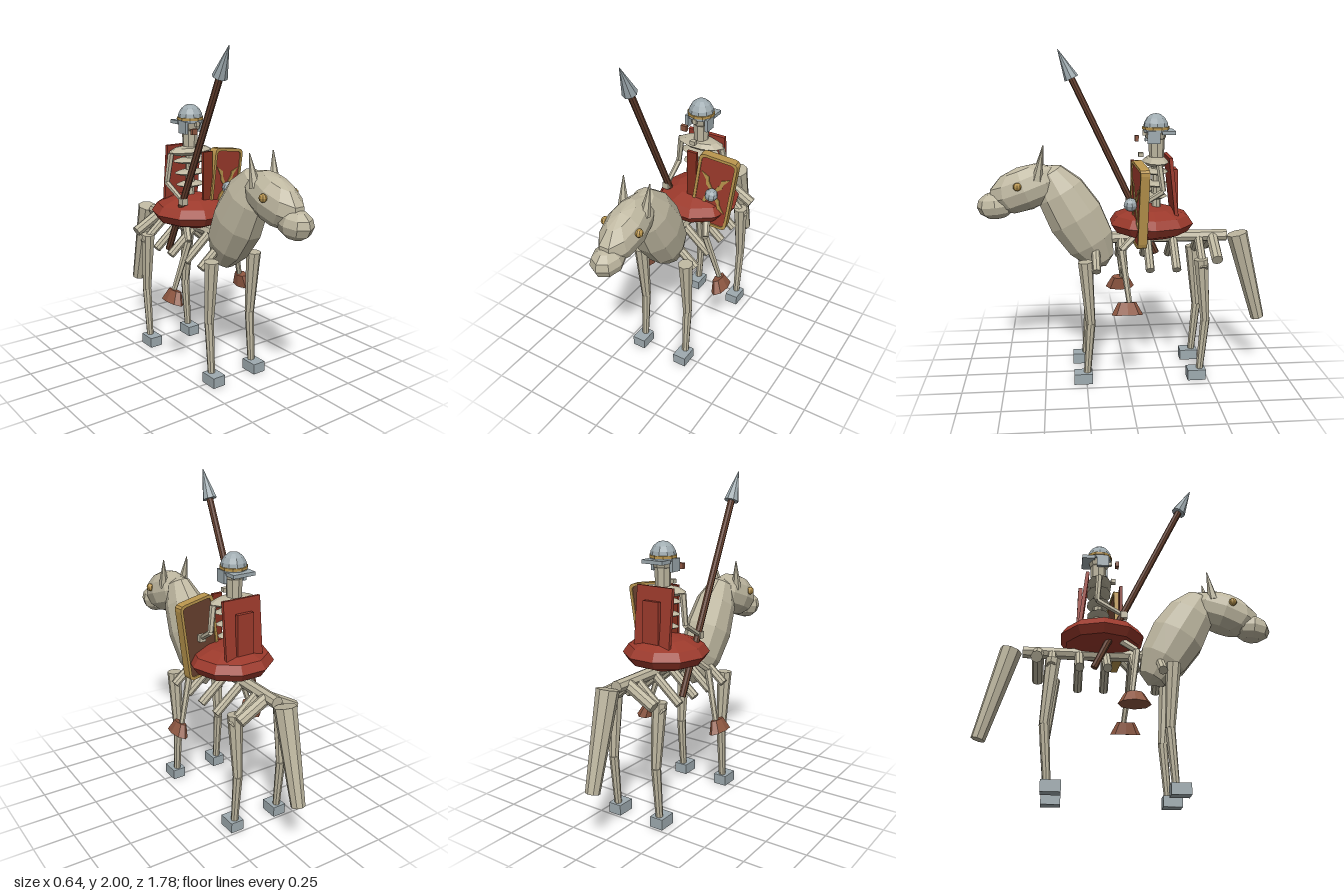
import * as THREE from 'three';

const mat = (name, color) => {
  const m = new THREE.MeshStandardMaterial({ color, flatShading: true });
  m.name = name;
  return m;
};

export function createModel() {
  const root = new THREE.Group();
  const bone = mat('bone', 0xbfb8a1), red = mat('red cloth', 0x9c3a2c), steel = mat('steel', 0x9fabb0),
    gold = mat('gold', 0xb9954d), wood = mat('wood', 0x68412f), leather = mat('leather', 0x8e5741),
    crimson = mat('dark red', 0x86301f);
  const V = (x, y, z) => new THREE.Vector3(x, y, z);

  function add(name, geo, m, pos, rot = [0, 0, 0], parent = root) {
    const mesh = new THREE.Mesh(geo, m);
    mesh.name = name;
    mesh.position.set(...pos);
    mesh.rotation.set(...rot);
    parent.add(mesh);
    return mesh;
  }
  const box = (name, m, size, pos, rot, parent) => add(name, new THREE.BoxGeometry(...size), m, pos, rot, parent);
  // Faceted ellipsoid
  const ball = (name, m, r, pos, rot, w = 10, h = 6, parent = root) =>
    add(name, new THREE.SphereGeometry(1, w, h).scale(...r), m, pos, rot, parent);
  // Tapered rod from a (radius ra) to b (radius rb)
  function rod(name, m, a, b, ra, rb = ra, sides = 8) {
    const p = V(...a), q = V(...b), d = q.clone().sub(p);
    const mesh = add(name, new THREE.CylinderGeometry(rb, ra, d.length(), sides), m, p.clone().add(q).multiplyScalar(0.5).toArray());
    mesh.quaternion.setFromUnitVectors(V(0, 1, 0), d.normalize());
    return mesh;
  }

  // Horse neck, head and tail
  ball('horseNeck', bone, [0.135, 0.365, 0.175], [0, 1.01, 0.3], [0.52, 0, 0]);
  ball('horseHead', bone, [0.115, 0.135, 0.235], [0, 1.19, 0.6], [0.35, 0, 0]);
  ball('horseMuzzle', bone, [0.09, 0.085, 0.115], [0, 1.09, 0.775], [0.1, 0, 0], 8, 6);
  rod('horseTail', bone, [0, 0.885, -0.7], [0, 0.33, -0.85], 0.066, 0.042);
  rod('horseSpine', bone, [0, 0.876, 0.16], [0, 0.876, -0.63], 0.037);

  for (const s of [-1, 1]) {
    ball('horseEye', gold, [0.022, 0.025, 0.025], [s * 0.112, 1.22, 0.64], [0, 0, 0], 8, 6);
    rod('horseEar', bone, [s * 0.07, 1.25, 0.525], [s * 0.085, 1.435, 0.49], 0.034, 0.003, 6);

    // Ribs and pelvis, slanting down from the spine
    for (let i = 0; i < 5; i++) {
      const z = 0.185 - i * 0.16;
      rod('horseRib', bone, [0, 0.876, z], [s * 0.19, 0.715, z], 0.027);
    }
    rod('horsePelvis', bone, [0, 0.876, -0.54], [s * 0.19, 0.77, -0.54], 0.035);

    // Horse legs and hooves
    for (const [top, knee, ankle, hoof] of [[0.25, 0.222, 0.245, 0.27], [-0.447, -0.48, -0.452, -0.43]]) {
      rod('upperLeg', bone, [s * 0.158, 0.77, top], [s * 0.155, 0.38, knee], 0.045, 0.029);
      rod('lowerLeg', bone, [s * 0.155, 0.38, knee], [s * 0.155, 0.06, ankle], 0.029, 0.022);
      box('hoof', steel, [0.085, 0.065, 0.112], [s * 0.155, 0.0325, hoof]);
    }

    // Rider legs and boots
    rod('riderThigh', bone, [s * 0.09, 0.98, -0.12], [s * 0.17, 0.84, 0.035], 0.026, 0.02, 6);
    rod('riderShin', bone, [s * 0.17, 0.84, 0.035], [s * 0.255, 0.53, -0.005], 0.022, 0.016, 6);
    const boot = new THREE.CylinderGeometry(0.028, 0.048, 0.075, 8).scale(1, 1, 1.95);
    add('riderBoot', boot, leather, [s * 0.265, 0.507, 0.01], [0, 0, s * 0.3]);
  }

  // Saddle cloth
  ball('saddle', red, [0.258, 0.1, 0.26], [0, 0.972, -0.16]);

  // Rider torso
  rod('riderSpine', bone, [0, 1.0, -0.19], [0, 1.38, -0.19], 0.028);
  [1.135, 1.21, 1.285].forEach((y, i) =>
    ball('riderRib', bone, [0.1 + i * 0.012, 0.018, 0.07 + i * 0.003], [0, y, -0.185], [0, 0, 0], 10, 4));
  ball('riderShoulders', bone, [0.155, 0.032, 0.08], [0, 1.345, -0.185], [0, 0, 0], 10, 4);
  rod('riderNeck', bone, [0, 1.36, -0.19], [0, 1.49, -0.19], 0.045, 0.05);
  ball('riderSkull', bone, [0.065, 0.07, 0.068], [0, 1.52, -0.185], [0, 0, 0], 8, 6);
  box('riderNose', bone, [0.022, 0.03, 0.02], [0, 1.515, -0.115]);
  box('collarClasp', bone, [0.035, 0.025, 0.03], [0, 1.385, -0.095]);
  box('chinClasp', leather, [0.038, 0.035, 0.022], [-0.05, 1.478, -0.075]);

  // Arms
  for (const [a, b, c] of [
    [[-0.14, 1.34, -0.19], [-0.165, 1.16, -0.2], [-0.155, 1.07, -0.04]],
    [[0.14, 1.34, -0.19], [0.17, 1.19, -0.21], [0.165, 1.12, -0.1]],
  ]) {
    rod('upperArm', bone, a, b, 0.02, 0.017, 6);
    rod('forearm', bone, b, c, 0.018, 0.015, 6);
    box('hand', bone, [0.04, 0.04, 0.04], c);
  }

  // Helmet
  add('helmetDome', new THREE.SphereGeometry(0.078, 10, 4, 0, Math.PI * 2, 0, Math.PI / 2).scale(1, 1.18, 1), steel, [0, 1.54, -0.185]);
  add('helmetBand', new THREE.CylinderGeometry(0.083, 0.083, 0.016, 10), gold, [0, 1.545, -0.185]);
  add('helmetRim', new THREE.CylinderGeometry(0.077, 0.077, 0.02, 10), steel, [0, 1.53, -0.185]);
  for (const s of [-1, 1]) box('cheekGuard', steel, [0.02, 0.075, 0.075], [s * 0.066, 1.495, -0.165]);
  box('neckGuard', steel, [0.145, 0.022, 0.08], [0, 1.52, -0.255]);

  // Cape
  box('cape', red, [0.25, 0.36, 0.022], [0, 1.2, -0.28], [0.11, 0, 0]);
  box('capePanel', red, [0.11, 0.25, 0.025], [0, 1.175, -0.303], [0.02, 0, 0]);
  box('tunicFront', crimson, [0.065, 0.41, 0.02], [0.025, 1.15, -0.045]);

  // Spear
  rod('spearShaft', wood, [-0.15, 0.73, -0.212], [-0.15, 1.84, 0.315], 0.021);
  rod('spearHead', steel, [-0.15, 1.83, 0.31], [-0.15, 2, 0.39], 0.045, 0.002);

  // Shield: rounded gold rim around a red front and wooden back
  const shield = new THREE.Group();
  shield.name = 'shield';
  shield.position.set(0.165, 1.115, -0.068);
  shield.rotation.set(0, 0.14, -0.14);
  root.add(shield);
  const rounded = (C, w, h, r) => {
    const s = new C(), x = w / 2, y = h / 2;
    s.moveTo(-x + r, -y).lineTo(x - r, -y).quadraticCurveTo(x, -y, x, -y + r).lineTo(x, y - r)
      .quadraticCurveTo(x, y, x - r, y).lineTo(-x + r, y).quadraticCurveTo(-x, y, -x, y - r)
      .lineTo(-x, -y + r).quadraticCurveTo(-x, -y, -x + r, -y);
    return s;
  };
  const extrude = (s, depth) => new THREE.ExtrudeGeometry(s, { depth, bevelEnabled: false, curveSegments: 3 });
  const rim = rounded(THREE.Shape, 0.24, 0.485, 0.035);
  rim.holes.push(rounded(THREE.Path, 0.205, 0.45, 0.025));
  add('shieldRim', extrude(rim, 0.055), gold, [0, 0, -0.028], undefined, shield);
  const board = rounded(THREE.Shape, 0.21, 0.455, 0.025);
  add('shieldFront', extrude(board, 0.02), red, [0, 0, 0], undefined, shield);
  add('shieldBack', extrude(board, 0.02), wood, [0, 0, -0.02], undefined, shield);
  ball('shieldBoss', steel, [0.04, 0.04, 0.042], [0, 0, 0.05], [0, 0, 0], 8, 6, shield);
  // Four pointed wings around the boss
  for (const sx of [-1, 1]) for (const sy of [-1, 1]) {
    const wing = new THREE.Shape([[0.02, 0.015], [0.05, 0.045], [0.055, 0.075], [0.09, 0.125], [0.04, 0.1], [0.035, 0.07], [0.01, 0.03]]
      .map(([x, y]) => new THREE.Vector2(x * sx, y * sy)));
    add('shieldWing', extrude(wing, 0.006), gold, [0, 0, 0.019], undefined, shield);
  }
  return root;
}
